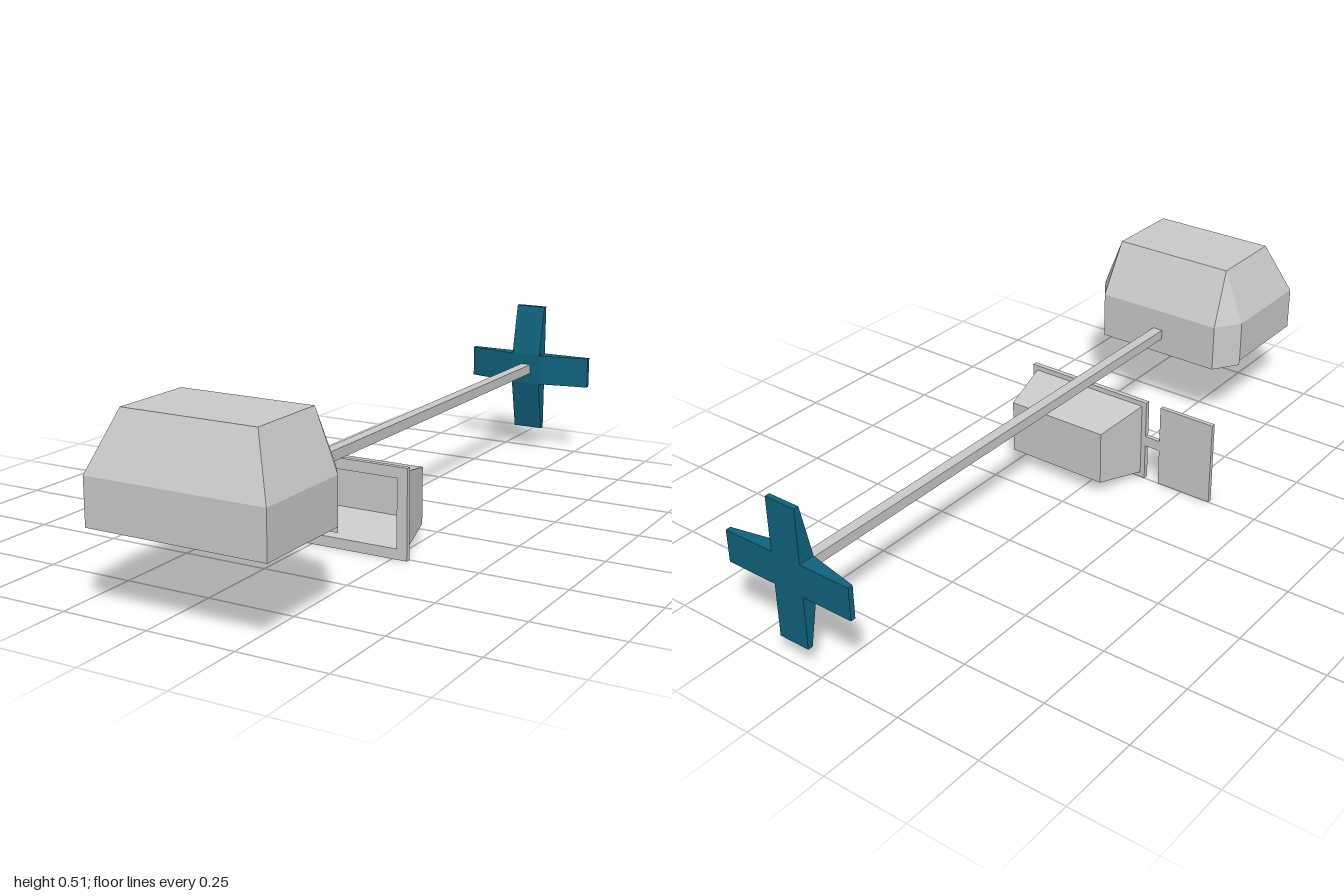
import * as THREE from 'three';

const paint = (color) => new THREE.MeshStandardMaterial({ color, flatShading: true });

// Skin over equal-length rings of points (counter-clockwise seen from the last ring), capped at both ends.
function loft(rings) {
  const pos = [];
  const n = rings[0].length;
  const tri = (a, b, c) => pos.push(...a, ...b, ...c);
  const cap = (r, flip) => {
    for (let i = 1; i < n - 1; i++) flip ? tri(r[0], r[i + 1], r[i]) : tri(r[0], r[i], r[i + 1]);
  };
  cap(rings[0], true);
  for (let k = 0; k < rings.length - 1; k++) {
    const a = rings[k], b = rings[k + 1];
    for (let i = 0; i < n; i++) {
      const j = (i + 1) % n;
      tri(a[i], a[j], b[j]);
      tri(a[i], b[j], b[i]);
    }
  }
  cap(rings[rings.length - 1], false);
  const g = new THREE.BufferGeometry();
  g.setAttribute('position', new THREE.Float32BufferAttribute(pos, 3));
  g.computeVertexNormals();
  return g;
}

const rectXY = (x0, x1, y0, y1, z) => [[x1, y0, z], [x1, y1, z], [x0, y1, z], [x0, y0, z]];
const planXZ = (pts, y) => pts.map(([x, z]) => [x, y, z]);

export function createModel() {
  const model = new THREE.Group();
  const grey = paint(0xcccccc);
  const blue = paint(0x0f6480);
  const dark = paint(0x484848);
  const yellow = paint(0xd0d020);

  const add = (name, geometry, material = grey, parent = model) => {
    const m = new THREE.Mesh(geometry, material);
    m.name = name;
    parent.add(m);
    return m;
  };
  const box = (name, x0, x1, y0, y1, z0, z1, material, parent) => {
    const m = add(name, new THREE.BoxGeometry(x1 - x0, y1 - y0, z1 - z0), material, parent);
    m.position.set((x0 + x1) / 2, (y0 + y1) / 2, (z0 + z1) / 2);
    return m;
  };

  // Head: straight lower walls with clipped rear corners, sloping up to a rectangular top
  const plan = [[0.342, 1], [0.342, 0.697], [0.29, 0.62], [-0.118, 0.62], [-0.17, 0.697], [-0.17, 1]];
  const top = [[0.28, 0.935], [0.28, 0.697], [0.28, 0.697], [-0.105, 0.697], [-0.105, 0.697], [-0.105, 0.935]];
  add('headHousing', loft([planXZ(plan, 0.225), planXZ(plan, 0.353), planXZ(top, 0.512)]));
  // Rear lip hanging just below the head
  const lip = plan.slice(1, 5);
  add('headRearLip', loft([planXZ(lip, 0.21), planXZ(lip, 0.226)]));
  box('lipSlot', -0.08, 0.16, 0.208, 0.211, 0.655, 0.672, dark);

  // Dark display on the underside with a zigzag pulse trace
  const display = new THREE.Group();
  display.name = 'undersideDisplay';
  model.add(display);
  box('displayPanel', -0.145, 0.317, 0.222, 0.226, 0.698, 0.975, dark, display);
  const pulse = [[0.31, 0.76], [0.22, 0.76], [0.19, 0.71], [0.09, 0.85], [0.06, 0.76], [-0.14, 0.76]];
  for (let i = 0; i < pulse.length - 1; i++) {
    const [ax, az] = pulse[i], [bx, bz] = pulse[i + 1];
    const length = Math.hypot(bx - ax, bz - az) + 0.008;
    const seg = add('pulseSegment', new THREE.BoxGeometry(length, 0.003, 0.01), yellow, display);
    seg.position.set((ax + bx) / 2, 0.2215, (az + bz) / 2);
    seg.rotation.y = -Math.atan2(bz - az, bx - ax);
  }

  // Long boom
  box('boom', 0.07, 0.102, 0.26, 0.29, -0.96, 0.63);

  // Tail cross: two tapered blades at right angles
  const blade = new THREE.Shape([
    [-0.206, -1], [0.206, -1], [0.206, -0.985], [0.05, -0.953], [-0.05, -0.953], [-0.206, -0.985],
  ].map(([x, y]) => new THREE.Vector2(x, y)));
  const bladeGeometry = new THREE.ExtrudeGeometry(blade, { depth: 0.096, bevelEnabled: false });
  bladeGeometry.translate(0, 0, -0.048);
  bladeGeometry.rotateX(Math.PI / 2);
  const tail = new THREE.Group();
  tail.name = 'tailCross';
  tail.position.set(0.086, 0.275, 0);
  model.add(tail);
  for (let i = 0; i < 2; i++) add('tailBlade', bladeGeometry, blue, tail).rotation.z = i * Math.PI / 2;

  // Open tray: tapered outer box, flat rim, then tapered recess, in one skin
  add('recessedTray', loft([
    rectXY(-0.073, 0.247, 0.048, 0.21, 0.087),
    rectXY(-0.105, 0.28, 0.016, 0.241, 0.25),
    rectXY(-0.12, 0.295, 0, 0.256, 0.25),
    rectXY(-0.12, 0.295, 0, 0.256, 0.265),
    rectXY(-0.09, 0.264, 0.03, 0.225, 0.265),
    rectXY(-0.057, 0.231, 0.064, 0.192, 0.1),
  ]));

  // Side panel and its short connecting arm
  box('sidePanel', -0.345, -0.169, 0, 0.256, 0.25, 0.263);
  box('panelArm', -0.17, -0.119, 0.112, 0.144, 0.25, 0.263);

  return model;
}
